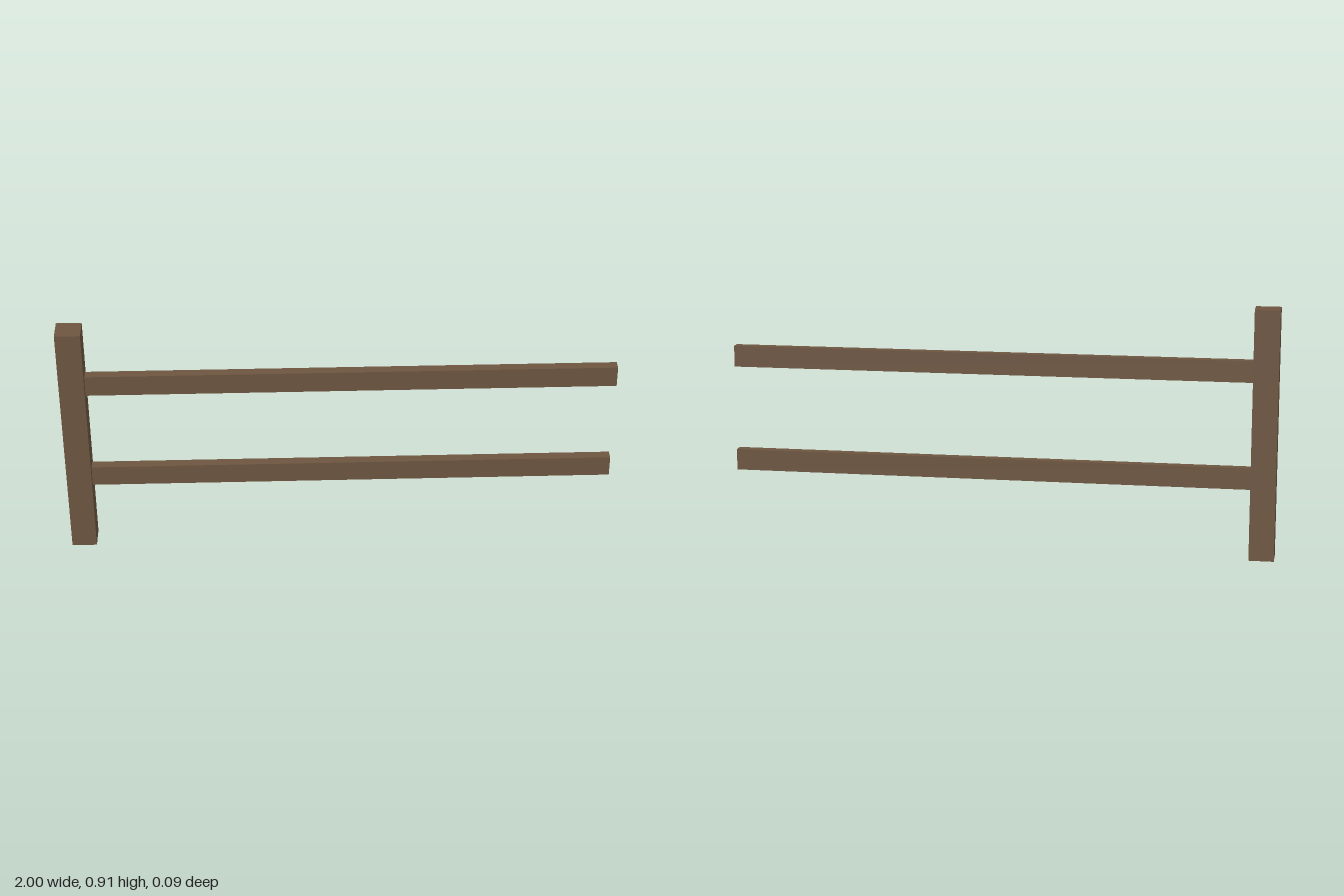
import * as THREE from 'three';

export function createModel() {
  const group = new THREE.Group();
  const wood = new THREE.MeshStandardMaterial({ color: 0x6d5540 });
  wood.name = 'brown wood';

  const addBeam = (name, width, height, depth, x, y) => {
    const beam = new THREE.Mesh(new THREE.BoxGeometry(width, height, depth), wood);
    beam.name = name;
    beam.position.set(x, y, 0);
    group.add(beam);
  };

  // Square upright post at the right end
  const postWidth = 0.091;
  const postHeight = 0.913;
  addBeam('post', postWidth, postHeight, postWidth, -1 + postWidth / 2, postHeight / 2);

  // Two horizontal rails running from the post to the open end
  const railLength = 2 - postWidth;
  const rails = { lowerRail: 0.295, upperRail: 0.686 };
  for (const [name, y] of Object.entries(rails)) {
    addBeam(name, railLength, 0.078, 0.037, 1 - railLength / 2, y);
  }

  return group;
}
